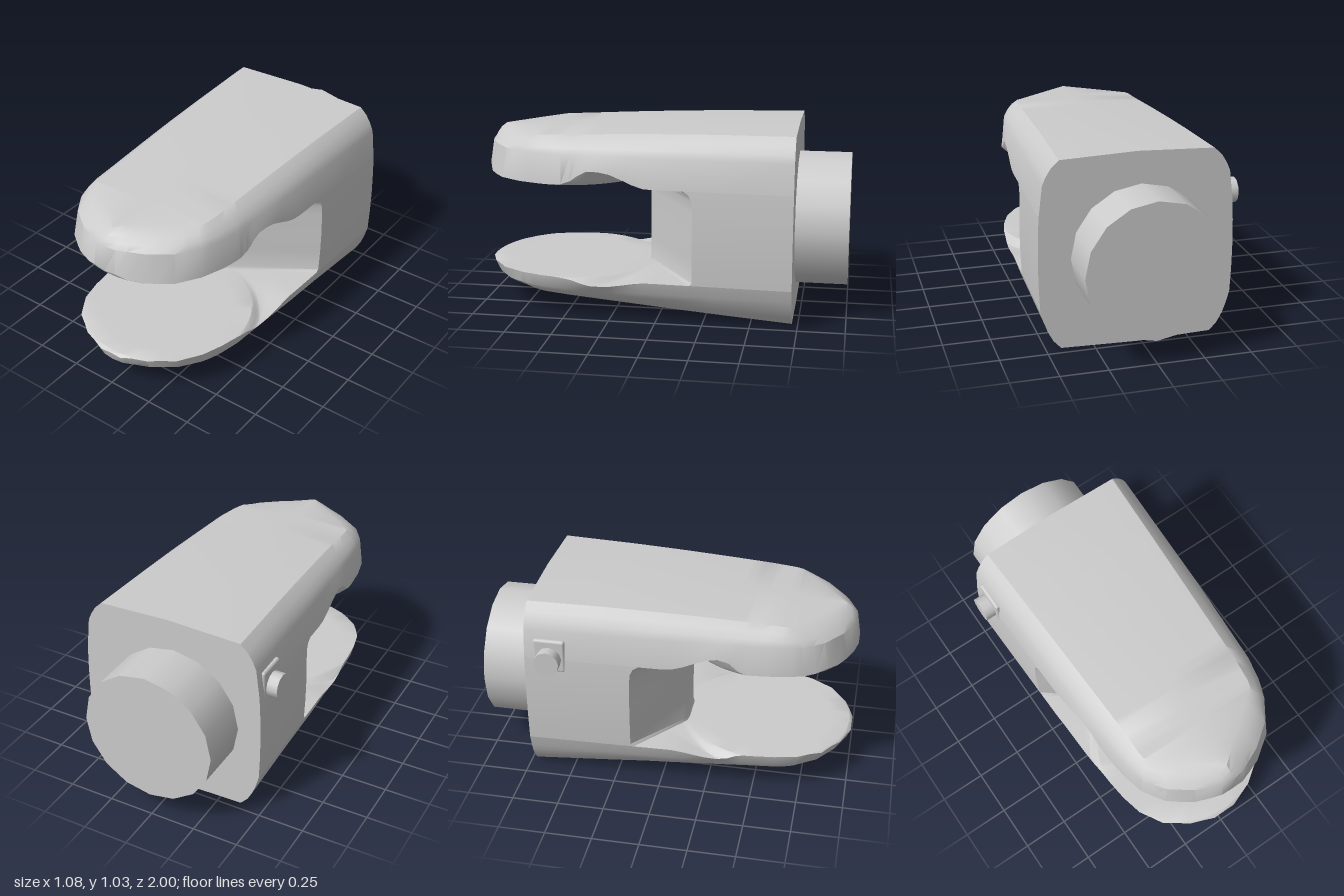
import * as THREE from 'three';
import { toCreasedNormals } from 'three/addons/utils/BufferGeometryUtils.js';
import { RoundedBoxGeometry } from 'three/addons/geometries/RoundedBoxGeometry.js';

const material = new THREE.MeshStandardMaterial({ color: 0xcccccc, side: THREE.DoubleSide });
const REAR = -0.72, FLOOR = 0.225, ROOF = 0.73;
const CX = 0.015, CZ = 0.53; // centre of the round jaw pads

const lerp = THREE.MathUtils.lerp, smooth = THREE.MathUtils.smoothstep;

// Piecewise linear lookup in [position, value] pairs
function lookup(table, z) {
  for (let i = 1; i < table.length; i++) {
    const [a, va] = table[i - 1], [b, vb] = table[i];
    if (z <= b) return lerp(va, vb, (z - a) / (b - a));
  }
  return table[table.length - 1][1];
}
const halfWidth = (z) => lookup([[-0.72, 0.505], [0, 0.485], [0.5, 0.455], [0.62, 0.435], [0.74, 0.4],
  [0.86, 0.325], [0.95, 0.2], [1, 0.065]], z);
const midX = (z) => lookup([[-0.72, 0.025], [0.5, 0.022], [0.75, 0.008], [1, 0.004]], z);
const along = (z) => (z - REAR) / 1.64;
const topY = (z) => 1.03 - 0.06 * along(z) ** 1.8;
const bottomY = (z) => 0.003 + 0.112 * along(z) ** 1.1;

// Closed rings of points joined into a creased surface
function loft(rows, name, crease = 0.55) {
  const n = rows[0].length, index = [];
  for (let r = 0; r + 1 < rows.length; r++) {
    for (let i = 0; i < n; i++) {
      const j = (i + 1) % n, a = r * n + i, b = r * n + j;
      index.push(a, b, b + n, a, b + n, a + n);
    }
  }
  const g = new THREE.BufferGeometry();
  g.setAttribute('position', new THREE.Float32BufferAttribute(rows.flat(2), 3));
  g.setIndex(index);
  const mesh = new THREE.Mesh(toCreasedNormals(g, crease), material);
  mesh.name = name;
  return mesh;
}

// Plan outline of a jaw: left side, round nose, right side, straight rear
function jawOutline() {
  const zs = [-0.72, -0.3, -0.1, 0, 0.06, 0.12, 0.18, 0.24, 0.3, 0.36, 0.41, 0.45, 0.5, 0.56, 0.62,
    0.68, 0.74, 0.8, 0.86, 0.91, 0.95, 0.98, 1];
  const side = (s) => zs.map((z) => ({ x: midX(z) + s * halfWidth(z), z, u: s }));
  const rear = [0.6, 0.3, 0, -0.3, -0.6].map((u) => ({ x: midX(REAR) + u * halfWidth(REAR), z: REAR, u }));
  return [...side(-1), { x: midX(1), z: 1, u: 0 }, ...side(1).reverse(), ...rear];
}

// Edge of the flat outer face, pointed at the nose
function plateau(p) {
  const c = midX(p.z);
  if (p.z <= 0.65) return { x: c + p.u * lerp(0.4, 0.34, along(p.z) / along(0.65)), z: p.z };
  const k = Math.min(1, Math.abs(p.x - c) / halfWidth(0.65));
  return { x: c + Math.sign(p.u) * 0.34 * k, z: 0.92 - 0.27 * k };
}

// Scooped relief beside the round pad
function scoop(x, z) {
  return smooth(Math.hypot(x - CX, z - CZ), 0.455, 0.5) * smooth(z, 0.03, 0.3);
}

function jaw(name, upper) {
  const outline = jawOutline();
  const inner = upper ? ROOF : FLOOR, depth = upper ? 0.08 : -0.037;
  const shoulderY = upper ? 0.89 : 0.16, outerY = upper ? topY : bottomY;
  const crown = upper ? -0.015 : 0.012;
  const ring = (fn) => outline.map(fn);

  // Inner face, from the pad centre out to the outline
  const onRay = (p, r) => {
    const dx = p.x - CX, dz = p.z - CZ, k = r / Math.hypot(dx, dz);
    return [CX + dx * k, CZ + dz * k];
  };
  const dist = (p) => Math.hypot(p.x - CX, p.z - CZ);
  const face = (radius) => ring((p) => {
    const [x, z] = onRay(p, radius(dist(p)));
    return [x, inner + depth * scoop(x, z), z];
  });
  const rows = [];
  if (upper) {
    // Blind round bore
    rows.push(ring(() => [CX, 0.88, CZ]));
    rows.push(ring((p) => { const [x, z] = onRay(p, 0.25); return [x, 0.88, z]; }));
  } else rows.push(ring(() => [CX, inner, CZ]));
  for (const r of [0.25, 0.36, 0.455, 0.47, 0.485, 0.5]) rows.push(face((d) => Math.min(r, d * 0.995)));
  for (const t of [0.25, 0.5, 0.75, 1]) rows.push(face((d) => lerp(Math.min(0.5, d * 0.995), d, t)));

  // Outer skin, from the rim over the shoulder to the spine
  for (const [t, k] of [[0.18, 0], [0.36, 0.35], [0.62, 0.7], [1, 1]]) {
    rows.push(ring((p) => {
      const q = plateau(p);
      const y = outerY(q.z) + crown * Math.min(1, Math.abs(q.x - midX(q.z)) / 0.34);
      return [lerp(p.x, q.x, t), lerp(shoulderY, y, k), lerp(p.z, q.z, t)];
    }));
  }
  rows.push(ring((p) => { const q = plateau(p); return [midX(q.z), outerY(q.z), q.z]; }));
  return loft(upper ? rows : rows.reverse(), name);
}

// Block between the jaws with a wedge-shaped front wall
function core() {
  const levels = [[0.225, 0.015], [0.24, 0], [0.36, 0], [0.48, 0], [0.62, 0], [0.68, 0.005],
    [0.71, 0.02], [0.73, 0.05]];
  const rows = levels.map(([y, flare]) => {
    const bulge = 0.008 * (1 - ((y - 0.4775) / 0.2525) ** 2);
    const side = (s, z) => [midX(z) + s * (halfWidth(z) + bulge), y, z];
    const wall = [[-0.19, 0.07], [-0.16, 0.09], [-0.12, 0.097], [0.03, 0.097], [0.06, 0.09], [0.09, 0.07]];
    return [side(-1, REAR), side(-1, -0.45), side(-1, -0.16 + flare),
      ...wall.map(([x, z]) => [x, y, z + flare * 0.4]),
      side(1, -0.2 + flare), side(1, -0.45), side(1, REAR)];
  });
  return loft(rows, 'core', 0.6);
}

function cylinder(name, radius, length, sides) {
  const g = new THREE.CylinderGeometry(radius, radius, length, sides);
  const mesh = new THREE.Mesh(g, material);
  mesh.name = name;
  return mesh;
}

export function createModel() {
  const model = new THREE.Group();
  model.name = 'toolHead';
  model.add(jaw('upperJaw', true), jaw('lowerJaw', false), core());

  // Round mounting stub at the back
  const stub = cylinder('mountingStub', 0.365, 0.3, 16);
  stub.rotation.x = Math.PI / 2;
  stub.position.set(0.005, 0.495, -0.85);
  model.add(stub);

  // Push button on its plate
  const plate = new THREE.Mesh(new RoundedBoxGeometry(0.03, 0.185, 0.17, 2, 0.014), material);
  plate.name = 'buttonPlate';
  plate.position.set(-0.467, 0.752, -0.585);
  const button = cylinder('button', 0.067, 0.08, 12);
  button.rotation.z = Math.PI / 2;
  button.position.set(-0.5, 0.738, -0.585);
  model.add(plate, button);
  return model;
}
